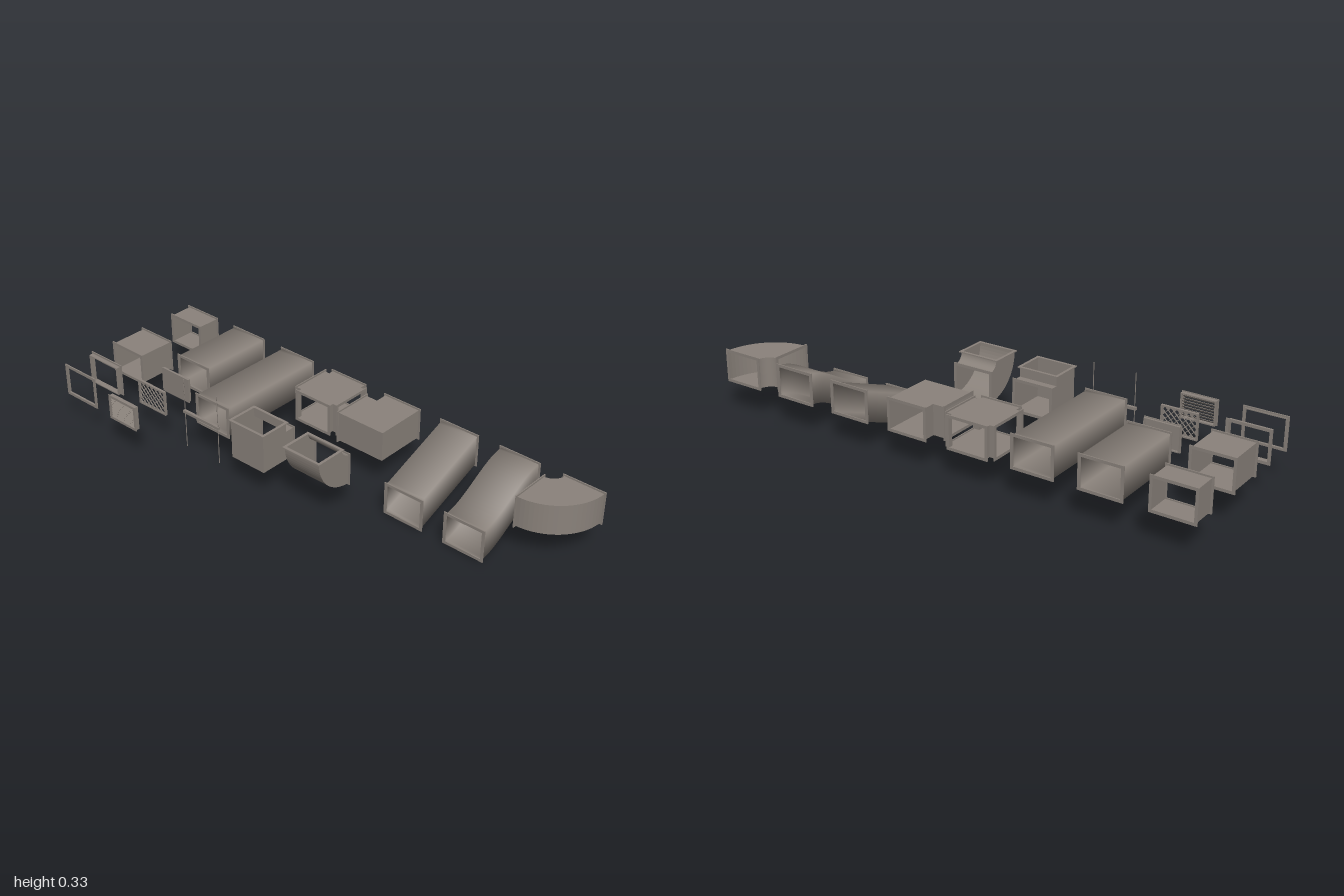
import * as THREE from 'three';

const W = 0.157, H = 0.118;        // duct section
const FW = 0.171, FH = 0.131;      // flange outline
const CY = 0.185;                  // duct axis height
const col = i => -0.9145 + i * 0.2613;

const metal = new THREE.MeshStandardMaterial({ color: 0x8a827b, side: THREE.DoubleSide });
metal.name = 'galvanised metal';

function mesh(name, geo, parent, x = 0, y = 0, z = 0) {
  const m = new THREE.Mesh(geo, metal);
  m.name = name;
  m.position.set(x, y, z);
  parent.add(m);
  return m;
}

function group(name, parent, x = 0, y = 0, z = 0) {
  const g = new THREE.Group();
  g.name = name;
  g.position.set(x, y, z);
  parent.add(g);
  return g;
}

function rect(w, h, Type = THREE.Shape) {
  return new Type([[-1, -1], [1, -1], [1, 1], [-1, 1]].map(([a, b]) => new THREE.Vector2(a * w / 2, b * h / 2)));
}

// Flat rectangular ring, centred, facing z
function ring(w, h, border, depth) {
  const s = rect(w, h);
  s.holes.push(rect(w - 2 * border, h - 2 * border, THREE.Path));
  return new THREE.ExtrudeGeometry(s, { depth, bevelEnabled: false }).translate(0, 0, -depth / 2);
}
const flange = (w = FW, h = FH) => ring(w, h, 0.011, 0.004);

// Rectangular duct along z whose axis height follows axis(t)
function duct(name, parent, x, z0, z1, axis = () => CY, smooth = true) {
  const g = group(name, parent, x);
  const n = 20, pos = [], idx = [];
  for (let i = 0; i <= n; i++) {
    const t = i / n, y = axis(t);
    for (const [a, b] of [[-1, -1], [1, -1], [1, 1], [-1, 1]])
      pos.push(a * W / 2, y + b * H / 2, z0 + (z1 - z0) * t);
    if (i < n) for (let k = 0; k < 4; k++) {
      const a = i * 4 + k, b = i * 4 + (k + 1) % 4;
      idx.push(a, b, b + 4, a, b + 4, a + 4);
    }
  }
  let geo = new THREE.BufferGeometry();
  geo.setAttribute('position', new THREE.Float32BufferAttribute(pos, 3));
  geo.setIndex(idx);
  if (!smooth) geo = geo.toNonIndexed();
  geo.computeVertexNormals();
  mesh('ductWalls', geo, g);
  mesh('backFlange', flange(), g, 0, axis(0), z0);
  mesh('frontFlange', flange(), g, 0, axis(1), z1);
}

// Fitting from a flat outline: two cheeks plus walls on every edge not listed as open
function fitting(parent, pts, open, depth) {
  const shape = new THREE.Shape(pts.map(p => new THREE.Vector2(...p)));
  for (const s of [-1, 1]) mesh('cheek', new THREE.ShapeGeometry(shape).translate(0, 0, s * depth / 2), parent);
  const pos = [], d = depth / 2;
  pts.forEach(([ax, ay], i) => {
    if (open.includes(i)) return;
    const [bx, by] = pts[(i + 1) % pts.length];
    pos.push(ax, ay, -d, bx, by, -d, bx, by, d, ax, ay, -d, bx, by, d, ax, ay, d);
  });
  const geo = new THREE.BufferGeometry();
  geo.setAttribute('position', new THREE.Float32BufferAttribute(pos, 3));
  geo.computeVertexNormals();
  mesh('walls', geo, parent);
}

// Right-angle turn about the local origin, square or curved, open on both axes
function elbow(name, parent, inner, section, depth, curved) {
  const g = group(name, parent), o = inner + section;
  let pts, open;
  if (curved) {
    const n = 20, arc = r => Array.from({ length: n + 1 }, (_, i) =>
      [r * Math.cos(i / n * Math.PI / 2), r * Math.sin(i / n * Math.PI / 2)]);
    pts = [...arc(o), ...arc(inner).reverse()];
    open = [n, 2 * n + 1];
  } else {
    pts = [[o, 0], [o, o], [0, o], [0, inner], [inner, inner], [inner, 0]];
    open = [2, 5];
  }
  fitting(g, pts, open, depth);
  const mid = inner + section / 2, fs = section + 0.013, fd = depth + 0.013;
  mesh('flange', flange(fs, fd).rotateX(Math.PI / 2), g, mid, 0, 0);
  mesh('flange', flange(fd, fs).rotateY(Math.PI / 2), g, 0, mid, 0);
  return g;
}

export function createModel() {
  const root = new THREE.Group();
  root.name = 'ductKit';

  // Straight lengths
  duct('shortDuct', root, col(0), -0.335, -0.238, undefined, false);
  duct('mediumDuct', root, col(0), -0.078, 0.075, undefined, false);
  duct('longDuct', root, col(1), -0.335, -0.028);
  duct('extraLongDuct', root, col(2), -0.335, 0.128);

  // Offsets dropping toward the front
  duct('slantedOffset', root, col(5), -0.335, -0.027, t => CY - 0.119 * t);
  duct('curvedOffset', root, col(6), -0.335, -0.027, t => CY - 0.119 * t * t * (3 - 2 * t));

  // Four-way cross
  const cross = group('crossJunction', root, col(3), CY, -0.237);
  cross.rotation.x = Math.PI / 2;
  const a = W / 2, b = 0.101;
  fitting(cross, [[-a, -b], [a, -b], [a, -a], [b, -a], [b, a], [a, a], [a, b], [-a, b], [-a, a], [-b, a], [-b, -a], [-a, -a]],
    [0, 3, 6, 9], H);
  for (const s of [-1, 1]) {
    mesh('flange', flange(FW, FH).rotateX(Math.PI / 2), cross, 0, s * b, 0);
    mesh('flange', flange(FH, FW).rotateY(Math.PI / 2), cross, s * b, 0, 0);
  }

  // Level turns
  const inner = 0.0505;
  for (const [name, i, curved] of [['squareTurn', 4, false], ['curvedTurn', 7, true]]) {
    const e = elbow(name, root, inner, W, H, curved);
    e.rotation.x = Math.PI / 2;
    e.position.set(col(i) - inner - W / 2, CY, -0.335);
  }

  // Upward turns
  for (const [name, i, curved] of [['squareRiser', 3, false], ['curvedRiser', 4, true]]) {
    const e = elbow(name, root, 0.037, H, W, curved);
    e.quaternion.setFromRotationMatrix(new THREE.Matrix4().makeBasis(
      new THREE.Vector3(0, 0, 1), new THREE.Vector3(0, -1, 0), new THREE.Vector3(1, 0, 0)));
    e.position.set(col(i), 0.281, 0.056);
  }

  // Joining collar and loose flange frame
  const collar = group('joiningCollar', root, col(0), CY, 0.182);
  mesh('collarFlange', flange(), collar);
  mesh('collarSleeve', ring(W, H, 0.004, 0.02), collar, 0, 0, 0.01);
  const loose = group('flangeFrame', root, col(0), CY, 0.314);
  mesh('frame', ring(FW, FH, 0.011, 0.005), loose);
  mesh('frameLip', ring(W, H, 0.004, 0.004), loose, 0, 0, -0.004);

  // Solid end cap
  const PW = 0.145, PH = 0.102;
  const cap = group('endCap', root, col(1), CY, 0.063);
  mesh('capPlate', new THREE.BoxGeometry(PW, PH, 0.004), cap, 0, 0, 0.004);
  mesh('capRim', ring(PW - 0.006, PH - 0.006, 0.004, 0.01), cap, 0, 0, -0.002);

  // Lattice grille with staggered diamond openings
  const grille = group('latticeGrille', root, col(1), CY, 0.187);
  const face = rect(PW, PH), dx = 0.0105, dy = 0.0095;
  for (let r = -3; r <= 3; r++)
    for (let c = -5; c <= 5; c++) {
      if ((r + c) % 2) continue;
      const x = c * 0.0115, y = r * 0.0115;
      face.holes.push(new THREE.Path([[dx, 0], [0, dy], [-dx, 0], [0, -dy]].map(([u, v]) => new THREE.Vector2(x + u * 0.9, y + v))));
    }
  mesh('lattice', new THREE.ExtrudeGeometry(face, { depth: 0.003, bevelEnabled: false }), grille);
  mesh('grilleRim', ring(PW, PH, 0.006, 0.01), grille);

  // Louvred vent, slats sloping down to the front
  const vent = group('louvredVent', root, col(1), CY, 0.329);
  mesh('ventFrame', ring(PW - 0.006, PH - 0.006, 0.005, 0.018), vent);
  mesh('ventLip', ring(PW, PH, 0.01, 0.003), vent, 0, 0, 0.0085);
  for (let i = 0; i < 8; i++) {
    const slat = mesh('slat', new THREE.BoxGeometry(PW - 0.014, 0.0015, 0.017), vent, 0, (i - 3.5) * 0.0105, 0);
    slat.rotation.x = Math.PI / 4.5;
  }

  // Hanger: cross bar on two threaded rods
  const hanger = group('hanger', root, col(2), CY, 0.184);
  mesh('crossBar', new THREE.BoxGeometry(0.183, 0.011, 0.011), hanger, 0, 0.009, 0);
  for (const s of [-1, 1])
    mesh('rod', new THREE.CylinderGeometry(0.0016, 0.0016, 0.288, 8), hanger, s * 0.0855, 0, 0);

  return root;
}
